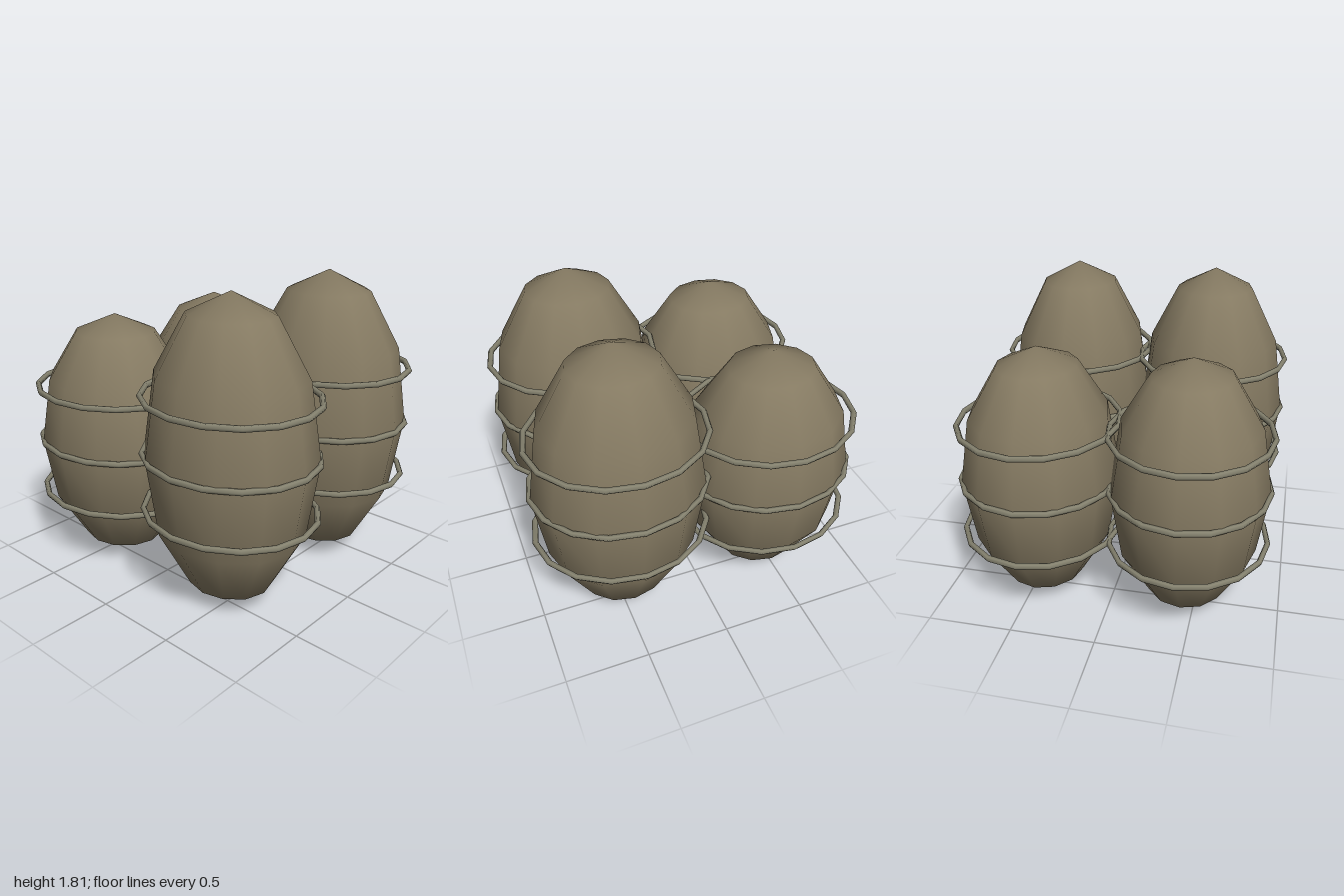
import * as THREE from 'three';

const POD_RADIUS = 0.515;
const DEPTH = 0.9; // pods and hoops are slightly flattened along z
const HOOP_SPACING = 0.335;

const podMaterial = new THREE.MeshStandardMaterial({ color: 0x857a62 });
const hoopMaterial = new THREE.MeshStandardMaterial({ color: 0x85826f });

// One egg-shaped pod standing on the ground, with three hoops around its middle
function createPod(name, halfHeight) {
  const group = new THREE.Group();
  group.name = name;

  const pod = new THREE.Mesh(new THREE.SphereGeometry(1, 12, 6), podMaterial);
  pod.name = 'pod';
  pod.scale.set(POD_RADIUS, halfHeight, POD_RADIUS * DEPTH);
  pod.position.y = halfHeight;
  group.add(pod);

  const hoopGeometry = new THREE.TorusGeometry(0.517, 0.018, 6, 16);
  hoopGeometry.rotateX(Math.PI / 2);
  ['lowerHoop', 'middleHoop', 'upperHoop'].forEach((hoopName, i) => {
    const hoop = new THREE.Mesh(hoopGeometry, hoopMaterial);
    hoop.name = hoopName;
    hoop.scale.z = DEPTH;
    hoop.position.y = halfHeight + (i - 1) * HOOP_SPACING;
    group.add(hoop);
  });
  return group;
}

export function createModel() {
  const model = new THREE.Group();
  model.name = 'hoopedPods';

  // Tall pods on the left (+x), short pods on the right, in front and back pairs
  for (const [side, x, halfHeight] of [['tall', 0.465, 0.905], ['short', -0.465, 0.775]]) {
    for (const [end, z] of [['Front', 0.44], ['Back', -0.44]]) {
      const pod = createPod(side + end + 'Pod', halfHeight);
      pod.position.set(x, 0, z);
      model.add(pod);
    }
  }
  return model;
}
